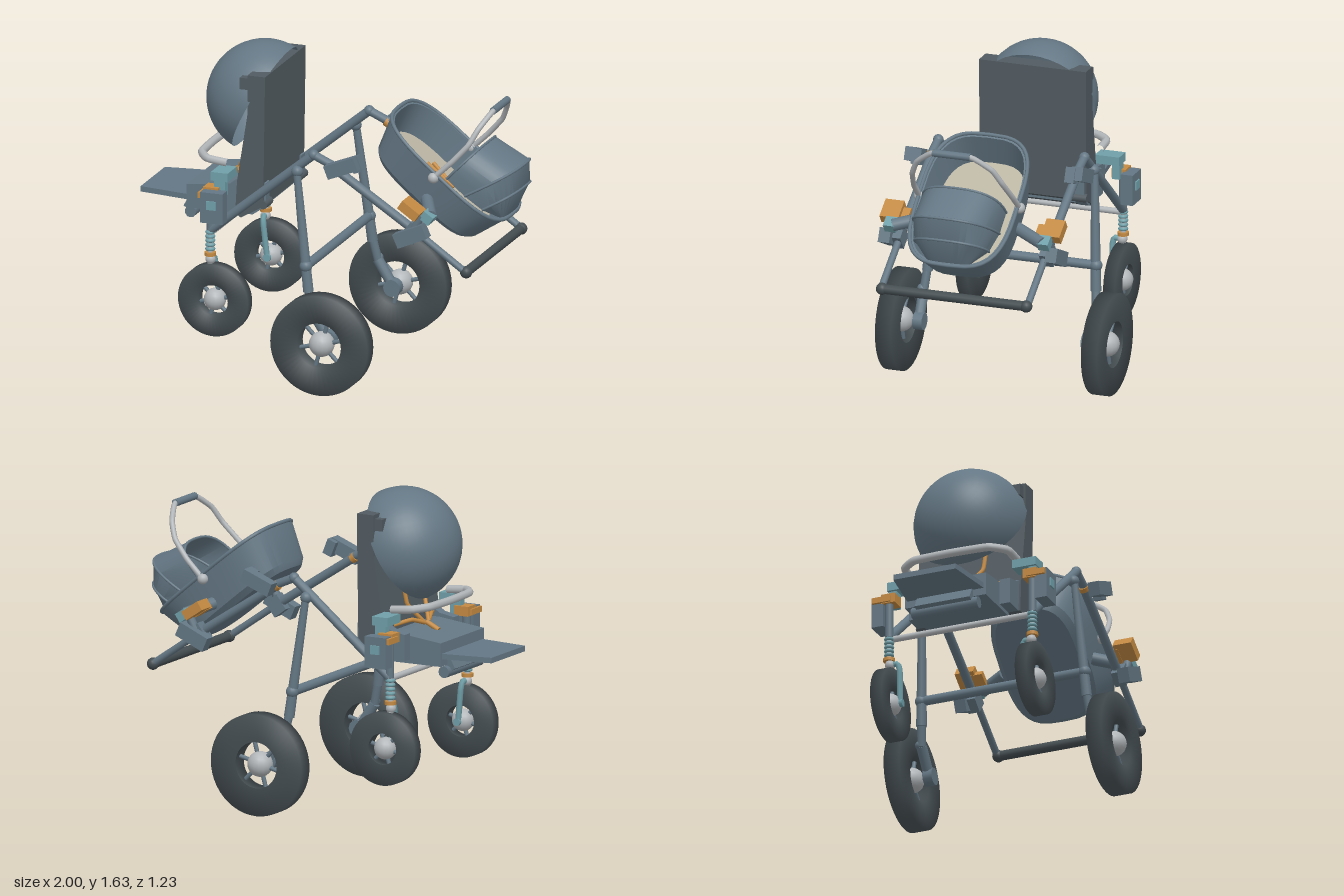
import * as THREE from 'three';
import { toCreasedNormals } from 'three/addons/utils/BufferGeometryUtils.js';

const V = (x, y, z) => new THREE.Vector3(x, y, z);
const mat = (name, color, side = THREE.FrontSide) => {
  const m = new THREE.MeshStandardMaterial({ color, side });
  m.name = name;
  return m;
};

export function createModel() {
  const slate = mat('slate', 0x647784, THREE.DoubleSide);
  const darkSlate = mat('darkSlate', 0x515b61);
  const rubber = mat('rubber', 0x444d51);
  const teal = mat('teal', 0x70a0a9);
  const orange = mat('orange', 0xc48a42);
  const cream = mat('cream', 0xbab4a2, THREE.DoubleSide);
  const silver = mat('silver', 0xb2b6b9);

  const root = new THREE.Group();
  root.name = 'stroller';
  const add = (name, geo, m, parent = root) => {
    const mesh = new THREE.Mesh(geo, m);
    mesh.name = name;
    parent.add(mesh);
    return mesh;
  };
  const box = (name, x, y, z, w, h, d, m, rot = 0, parent = root) => {
    const b = add(name, new THREE.BoxGeometry(w, h, d), m, parent);
    b.position.set(x, y, z);
    b.rotation.z = rot;
    return b;
  };
  const ball = (name, p, r, m, parent = root) => {
    const b = add(name, new THREE.SphereGeometry(r, 16, 12), m, parent);
    b.position.copy(p);
    return b;
  };
  const rod = (name, a, b, r, m, parent = root, r2 = r) => {
    const c = add(name, new THREE.CylinderGeometry(r2, r, a.distanceTo(b), 12), m, parent);
    c.position.copy(a).add(b).multiplyScalar(0.5);
    c.quaternion.setFromUnitVectors(V(0, 1, 0), b.clone().sub(a).normalize());
    return c;
  };
  const pipe = (name, pts, r, m, parent = root, closed = false) =>
    add(name, new THREE.TubeGeometry(new THREE.CatmullRomCurve3(pts, closed, 'catmullrom', 0.2), pts.length * 6, r, 8, closed), m, parent);
  // side profile stretched across the width
  const slab = (name, pts, z0, z1, m) => {
    const shape = new THREE.Shape(pts.map(p => new THREE.Vector2(...p)));
    return add(name, new THREE.ExtrudeGeometry(shape, { depth: z1 - z0, bevelEnabled: false }).translate(0, 0, z0), m);
  };
  // skin through equal-length rings of points
  const loft = (rings, closed) => {
    const n = rings[0].length, idx = [];
    for (let i = 0; i < rings.length - 1; i++)
      for (let j = 0; j < (closed ? n : n - 1); j++) {
        const a = i * n + j, b = i * n + (j + 1) % n;
        idx.push(a, a + n, b, b, a + n, b + n);
      }
    const g = new THREE.BufferGeometry().setFromPoints(rings.flat());
    g.setIndex(idx);
    g.computeVertexNormals();
    return toCreasedNormals(g, 0.5);
  };

  // wheels: open tyre, spokes and round hub
  const wheel = (name, x, y, z, R, r, w, hub) => {
    const g = new THREE.Group();
    g.name = name;
    g.position.set(x, y, z);
    root.add(g);
    const prof = [[r, -w], [R, -w], [R, w], [r, w], [r, -w]].map(p => new THREE.Vector2(...p));
    add('tyre', new THREE.LatheGeometry(prof, 48).rotateX(Math.PI / 2), rubber, g);
    ball('hub', V(0, 0, 0), hub, silver, g);
    for (let i = 0; i < 6; i++) {
      const a = i * Math.PI / 3 + 0.25;
      rod('spoke', V(0, 0, 0), V(Math.cos(a) * (r + 0.01), Math.sin(a) * (r + 0.01), 0), 0.011, slate, g);
    }
  };

  for (const s of [1, -1]) {
    const P = (x, y, z) => V(x, y, z * s);
    wheel('largeWheel', 0.115, 0.267, 0.55 * s, 0.26, 0.118, 0.042, 0.065);
    wheel('smallWheel', -0.516, 0.385, 0.394 * s, 0.187, 0.08, 0.031, 0.057);

    // side frame
    rod('seatTube', P(-0.54, 0.745, 0.39), P(0.01, 1.2, 0.39), 0.023, slate);
    ball('frameJoint', P(0.01, 1.2, 0.39), 0.027, slate);
    rod('elbowTube', P(0.01, 1.2, 0.39), P(0.125, 1.15, 0.39), 0.022, slate);
    rod('bassinetTube', P(0.11, 1.15, 0.39), P(0.52, 0.885, 0.39), 0.023, slate);
    rod('handleTube', P(0.5, 0.9, 0.39), P(0.825, 0.675, 0.39), 0.018, slate);
    rod('tubeClip', P(0.1, 1.157, 0.39), P(0.12, 1.144, 0.39), 0.026, orange);
    ball('gripEnd', P(0.825, 0.675, 0.385), 0.031, rubber);
    box('upperSocket', 0.185, 1.17, 0.445 * s, 0.17, 0.07, 0.06, slate, 0.38);
    box('socketArm', 0.25, 1.185, 0.41 * s, 0.05, 0.08, 0.05, slate, 0.38);

    // large wheel leg and its linkage
    rod('rearLeg', P(-0.07, 1.11, 0.415), P(0.005, 0.5, 0.45), 0.019, slate, root, 0.027);
    ball('legPivot', P(-0.07, 1.11, 0.41), 0.03, slate);
    ball('legCollar', P(-0.01, 0.63, 0.445), 0.032, slate);
    rod('legLink', P(0.005, 0.51, 0.45), P(0.03, 0.4, 0.46), 0.022, slate);
    rod('wheelArm', P(0.03, 0.4, 0.46), P(0.115, 0.267, 0.455), 0.027, slate);
    ball('linkCap', P(0.03, 0.41, 0.47), 0.024, slate);
    rod('brakeDrum', P(0.115, 0.267, 0.425), P(0.115, 0.267, 0.475), 0.045, slate);
    rod('largeAxle', P(0.115, 0.267, 0.46), P(0.115, 0.267, 0.54), 0.012, silver);

    // small wheel suspension
    rod('springCore', P(-0.543, 0.56, 0.39), P(-0.543, 0.76, 0.39), 0.015, silver);
    for (let i = 0; i < 5; i++) {
      const c = add('springCoil', new THREE.TorusGeometry(0.017, 0.009, 8, 16), teal);
      c.rotation.x = Math.PI / 2;
      c.position.copy(P(-0.543, 0.645 + i * 0.022, 0.39));
    }
    rod('springSeat', P(-0.543, 0.61, 0.39), P(-0.543, 0.628, 0.39), 0.03, orange);
    ball('springFoot', P(-0.543, 0.59, 0.385), 0.026, silver);
    pipe('fork', [P(-0.543, 0.59, 0.39), P(-0.54, 0.592, 0.345), P(-0.535, 0.55, 0.335), P(-0.518, 0.385, 0.34)], 0.015, teal);
    rod('smallAxle', P(-0.516, 0.385, 0.325), P(-0.516, 0.385, 0.4), 0.02, teal);

    // seat mounts
    rod('seatPost', P(-0.54, 0.745, 0.39), P(-0.54, 0.96, 0.39), 0.021, slate);
    box('seatMount', -0.505, 0.885, 0.445 * s, 0.12, 0.16, 0.065, slate);
    box('mountButton', -0.505, 0.9, 0.46 * s, 0.05, 0.045, 0.05, teal);
    box('mountLatch', -0.53, 0.95, 0.385 * s, 0.08, 0.05, 0.075, orange);
    box('latchLever', -0.565, 0.945, 0.42 * s, 0.03, 0.03, 0.1, orange);
    box('seatBracket', -0.49, 1.03, 0.34 * s, 0.09, 0.045, 0.13, teal);
    box('bracketStem', -0.49, 0.98, 0.38 * s, 0.06, 0.1, 0.04, teal);

    // bassinet mounts
    box('bassinetSocket', 0.555, 0.855, 0.445 * s, 0.17, 0.075, 0.06, slate, 0.42);
    box('socketBase', 0.55, 0.86, 0.4 * s, 0.08, 0.09, 0.06, slate, -0.65);
    box('bassinetLatch', 0.55, 0.99, 0.43 * s, 0.11, 0.05, 0.1, orange, -0.6);
    box('bassinetLever', 0.55, 0.975, 0.37 * s, 0.08, 0.03, 0.06, orange, -0.6);
    box('bassinetButton', 0.63, 0.95, 0.41 * s, 0.06, 0.05, 0.06, teal, -0.6);
    rod('bassinetArm', P(0.64, 0.95, 0.4), P(0.56, 0.985, 0.24), 0.032, slate);
    rod('mountStem', P(0.55, 0.86, 0.42), P(0.6, 0.96, 0.42), 0.022, slate);

    // seat side wings and shoulder tabs
    slab('seatWing', [[-0.56, 0.81], [-0.36, 0.81], [-0.29, 0.86], [-0.29, 0.98], [-0.4, 1.01], [-0.48, 0.96], [-0.56, 0.945]],
      s > 0 ? 0.22 : -0.275, s > 0 ? 0.275 : -0.22, slate);
    box('shoulderTab', -0.4, 1.49, 0.25 * s, 0.06, 0.06, 0.05, darkSlate);
    rod('recliner', P(-0.3, 0.87, 0.2), P(-0.3, 0.87, 0.29), 0.022, darkSlate);
    pipe('shoulderStrap', [P(-0.445, 1.22, 0.1), P(-0.47, 1.06, 0.09), P(-0.53, 0.96, 0.02)], 0.011, orange);
    pipe('lapStrap', [P(-0.45, 0.97, 0.2), P(-0.5, 0.985, 0.1), P(-0.53, 0.96, 0.02)], 0.011, orange);
  }

  // cross members
  rod('rearCrossbar', V(-0.01, 0.63, -0.45), V(-0.01, 0.63, 0.45), 0.024, slate);
  rod('seatCrossbar', V(-0.53, 0.737, -0.38), V(-0.53, 0.737, 0.38), 0.016, silver);
  rod('pushGrip', V(0.825, 0.675, -0.385), V(0.825, 0.675, 0.385), 0.025, rubber);

  // seat
  slab('seatPan', [[-0.735, 0.79], [-0.45, 0.79], [-0.33, 0.83], [-0.33, 0.94], [-0.48, 0.94], [-0.735, 0.91]], -0.22, 0.22, slate);
  slab('backrest', [[-0.385, 1.54], [-0.385, 1.33], [-0.44, 0.98], [-0.45, 0.81], [-0.42, 0.79], [-0.3, 0.86], [-0.29, 1.54]], -0.285, 0.285, darkSlate);
  const plate = new THREE.Shape([[-1, -0.17], [-0.72, -0.21], [-0.72, 0.21], [-1, 0.17]].map(p => new THREE.Vector2(...p)));
  add('footrest', new THREE.ExtrudeGeometry(plate, { depth: 0.028, bevelEnabled: false }).rotateX(Math.PI / 2).translate(0, 0.855, 0), slate);
  rod('footrestRoller', V(-0.73, 0.755, -0.18), V(-0.73, 0.755, 0.18), 0.03, slate);
  box('footrestHinge', -0.735, 0.8, 0, 0.05, 0.09, 0.3, slate, -0.5);
  rod('crotchStrap', V(-0.53, 0.96, 0), V(-0.6, 0.925, 0), 0.013, orange);
  pipe('bumperBar', [V(-0.49, 1.07, 0.285), V(-0.6, 1.08, 0.28), V(-0.66, 1.085, 0.2), V(-0.67, 1.085, 0),
    V(-0.66, 1.085, -0.2), V(-0.6, 1.08, -0.28), V(-0.49, 1.07, -0.285)], 0.021, silver);

  // seat canopy: half a dome tipped backward
  const dome = add('seatCanopy', new THREE.SphereGeometry(0.293, 36, 14, 0, Math.PI * 2, 0, Math.PI / 2), slate);
  dome.position.set(-0.4, 1.343, 0);
  dome.rotation.z = Math.atan2(0.89, 0.46);

  // bassinet, built level around its rim and then tilted
  const bas = new THREE.Group();
  bas.name = 'bassinet';
  bas.position.set(0.62, 1.123, 0);
  bas.rotation.z = -0.694;
  root.add(bas);
  const pw = (c, e) => Math.sign(c) * Math.abs(c) ** e;
  const loop = (hl, hw, y) => Array.from({ length: 36 }, (_, i) => {
    const a = i / 36 * Math.PI * 2;
    return V(hl * pw(Math.cos(a), 0.62), y, hw * pw(Math.sin(a), 0.62));
  });
  add('bassinetShell', loft([loop(0, 0, -0.215), loop(0.31, 0.205, -0.215), loop(0.335, 0.235, -0.185),
    loop(0.393, 0.268, 0), loop(0.372, 0.248, 0), loop(0.32, 0.222, -0.165)], true), slate, bas);
  add('mattress', loft([loop(0, 0, -0.155), loop(0.322, 0.223, -0.155)], true), cream, bas);
  pipe('rimTrim', loop(0.39, 0.265, 0.002), 0.01, slate, bas, true);
  for (const s of [1, -1]) {
    rod('bassinetStrap', V(-0.08, -0.14, 0.09 * s), V(0.08, -0.13, 0.035 * s), 0.01, orange, bas);
    rod('bassinetStrapEnd', V(0.08, -0.13, 0.035 * s), V(-0.1, -0.13, 0.02 * s), 0.01, orange, bas);
  }
  rod('buckleStrap', V(-0.02, -0.135, -0.07), V(-0.02, -0.135, 0.07), 0.01, orange, bas);

  // folding hood from a fan of arches: base, top x, top y, half width
  const arches = [[0.045, 0.06, 0.21, 0.215], [0.17, 0.27, 0.257, 0.215], [0.28, 0.345, 0.168, 0.19], [0.36, 0.385, 0.02, 0.12]]
    .map(([b, x, y, w]) => Array.from({ length: 19 }, (_, i) => {
      const a = i / 18 * Math.PI, f = pw(Math.sin(a), 0.75);
      return V(b + (x - b) * f, y * f, w * pw(Math.cos(a), 0.75));
    }));
  add('hood', loft(arches, false), slate, bas);
  arches.slice(0, 3).forEach(a => pipe('hoodRib', a, 0.007, slate, bas));

  // carry handle
  const half = [[0.605, 1.11, 0.268], [0.7, 1.2, 0.262], [0.78, 1.29, 0.24], [0.82, 1.37, 0.2], [0.86, 1.44, 0.1]];
  pipe('carryHandle', [...half.map(p => V(...p)), ...half.slice().reverse().map(([x, y, z]) => V(x, y, -z))], 0.014, silver);
  rod('handleGrip', V(0.86, 1.44, -0.1), V(0.86, 1.44, 0.1), 0.019, slate);
  for (const s of [1, -1]) ball('handlePivot', V(0.605, 1.11, 0.268 * s), 0.028, silver);

  return root;
}
